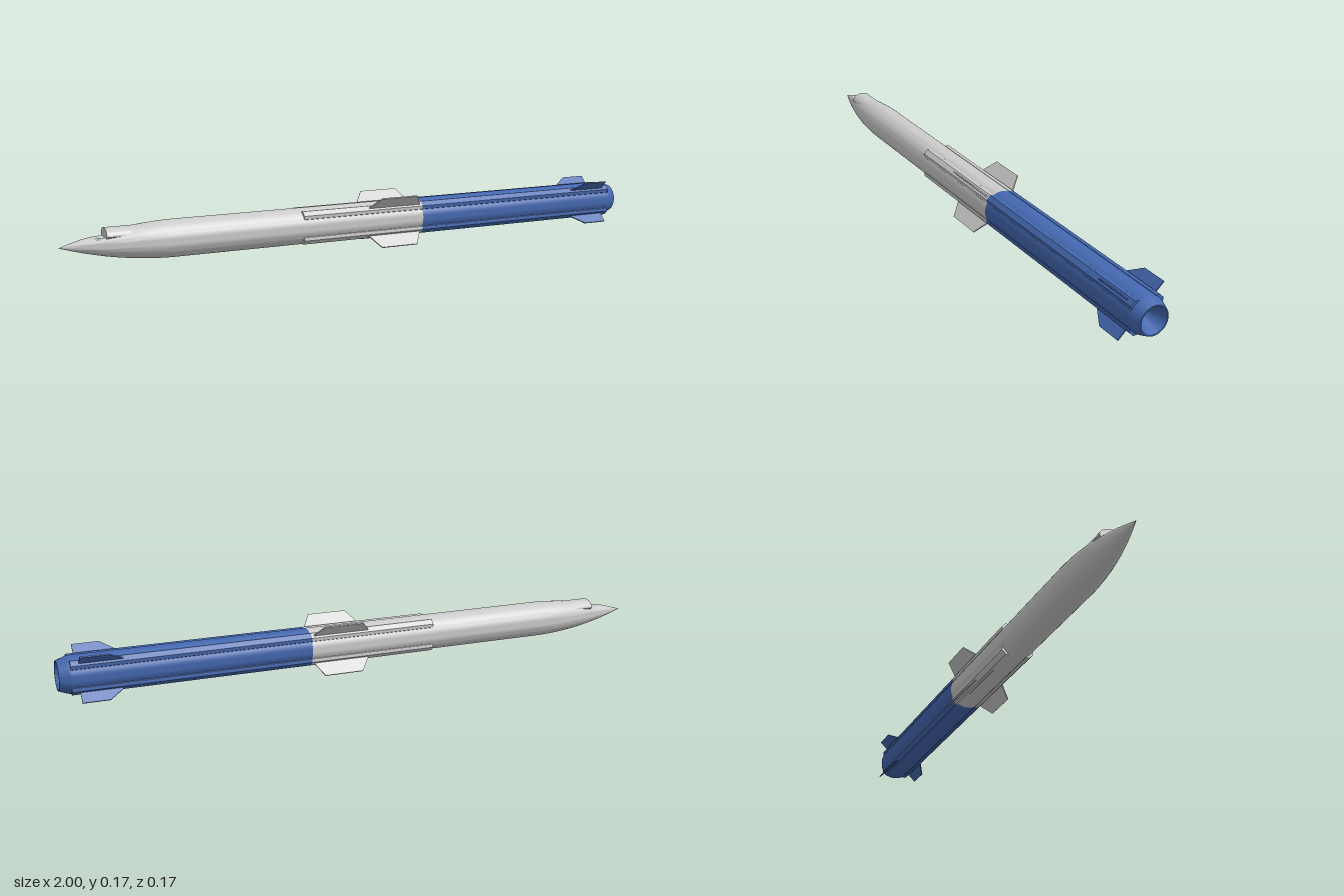
import * as THREE from 'three';
import { toCreasedNormals } from 'three/addons/utils/BufferGeometryUtils.js';

const grey = new THREE.MeshStandardMaterial({ color: 0xcccccc });
const blue = new THREE.MeshStandardMaterial({ color: 0x4468b0 });
const R = 0.059;       // body radius
const AXIS = 0.083;    // height of the body axis
const SPLIT = 0.2;     // joint between missile and booster

function mesh(name, geometry, material) {
  const m = new THREE.Mesh(geometry, material);
  m.name = name;
  return m;
}

// Surface of revolution about the x axis from [x, radius] pairs
function turned(profile) {
  const g = new THREE.LatheGeometry(profile.map(([x, r]) => new THREE.Vector2(r, x)), 48);
  return g.rotateZ(-Math.PI / 2);
}

function polygon(points) {
  return new THREE.Shape(points.map(([x, y]) => new THREE.Vector2(x, y)));
}

// Thin plate in the x / radius plane
function plate(points, thickness) {
  const g = new THREE.ExtrudeGeometry(polygon(points), { depth: thickness, bevelEnabled: false });
  return g.translate(0, 0, -thickness / 2);
}

// Section drawn in the z / y plane, extruded along x
function alongX(shape, x0, x1) {
  const g = new THREE.ExtrudeGeometry(shape, { depth: x1 - x0, bevelEnabled: false, curveSegments: 20 });
  return g.rotateY(Math.PI / 2).translate(x0, 0, 0);
}

export function createModel() {
  const model = new THREE.Group();
  model.name = 'missile';
  const body = new THREE.Group();
  body.name = 'airframe';
  body.position.y = AXIS;
  model.add(body);

  // Curved nose running into the cylindrical front body
  const noseEnd = -0.64;
  const stations = [-1, -0.98, -0.96, -0.93, -0.9, -0.862, -0.86, -0.82, -0.78, -0.74, -0.7, -0.67, noseEnd];
  const nose = turned([
    ...stations.map((x) => [x, R * (1 - ((noseEnd - x) / (1 + noseEnd)) ** 2)]),
    [SPLIT, R],
  ]);
  // Flatten the top of the nose in front of the intake
  const p = nose.attributes.position;
  for (let i = 0; i < p.count; i++) {
    if (p.getX(i) < -0.861) p.setY(i, Math.min(p.getY(i), 0.023));
  }
  body.add(mesh('frontBody', toCreasedNormals(nose, 0.5), grey));

  // Dorsal intake fairing that sinks into the body
  const scoop = new THREE.Shape();
  scoop.moveTo(-0.024, 0.015);
  scoop.lineTo(0.024, 0.015);
  scoop.lineTo(0.036, 0.026);
  scoop.absellipse(0, 0.026, 0.036, 0.025, 0, Math.PI, false, 0);
  scoop.lineTo(-0.024, 0.015);
  body.add(mesh('intakeFairing', toCreasedNormals(alongX(scoop, -0.862, -0.66), 0.6), grey));

  // Booster casing with tapered end and recessed nozzle
  const booster = turned([
    [SPLIT, R], [0.965, R], [0.975, 0.056], [1, 0.047], [1, 0.043], [0.93, 0.017], [0.93, 0],
  ]);
  body.add(mesh('boosterAndNozzle', toCreasedNormals(booster, 0.3), blue));

  // Four identical quarters: cable tunnel, wing and tail fin
  const tunnel = polygon([[-0.017, 0.05], [0.017, 0.05], [0.0165, 0.058], [0.0095, 0.0665], [-0.0095, 0.0665], [-0.0165, 0.058]]);
  const wing = plate([[0, 0.05], [0.195, 0.05], [0.195, 0.062], [0.165, 0.115], [0.035, 0.115], [0, 0.062]], 0.004);
  const fin = plate([[0.79, 0.05], [0.94, 0.05], [0.94, 0.102], [0.855, 0.102], [0.8, 0.062]], 0.004);
  const frontTunnel = alongX(tunnel, -0.23, SPLIT);
  const rearTunnel = alongX(tunnel, SPLIT, 0.965);
  for (let k = 0; k < 4; k++) {
    const quarter = new THREE.Group();
    quarter.name = `finSet${k + 1}`;
    quarter.rotation.x = Math.PI / 4 + (k * Math.PI) / 2;
    quarter.add(
      mesh('frontCableTunnel', frontTunnel, grey),
      mesh('rearCableTunnel', rearTunnel, blue),
      mesh('wing', wing, grey),
      mesh('tailFin', fin, blue),
    );
    body.add(quarter);
  }
  return model;
}
